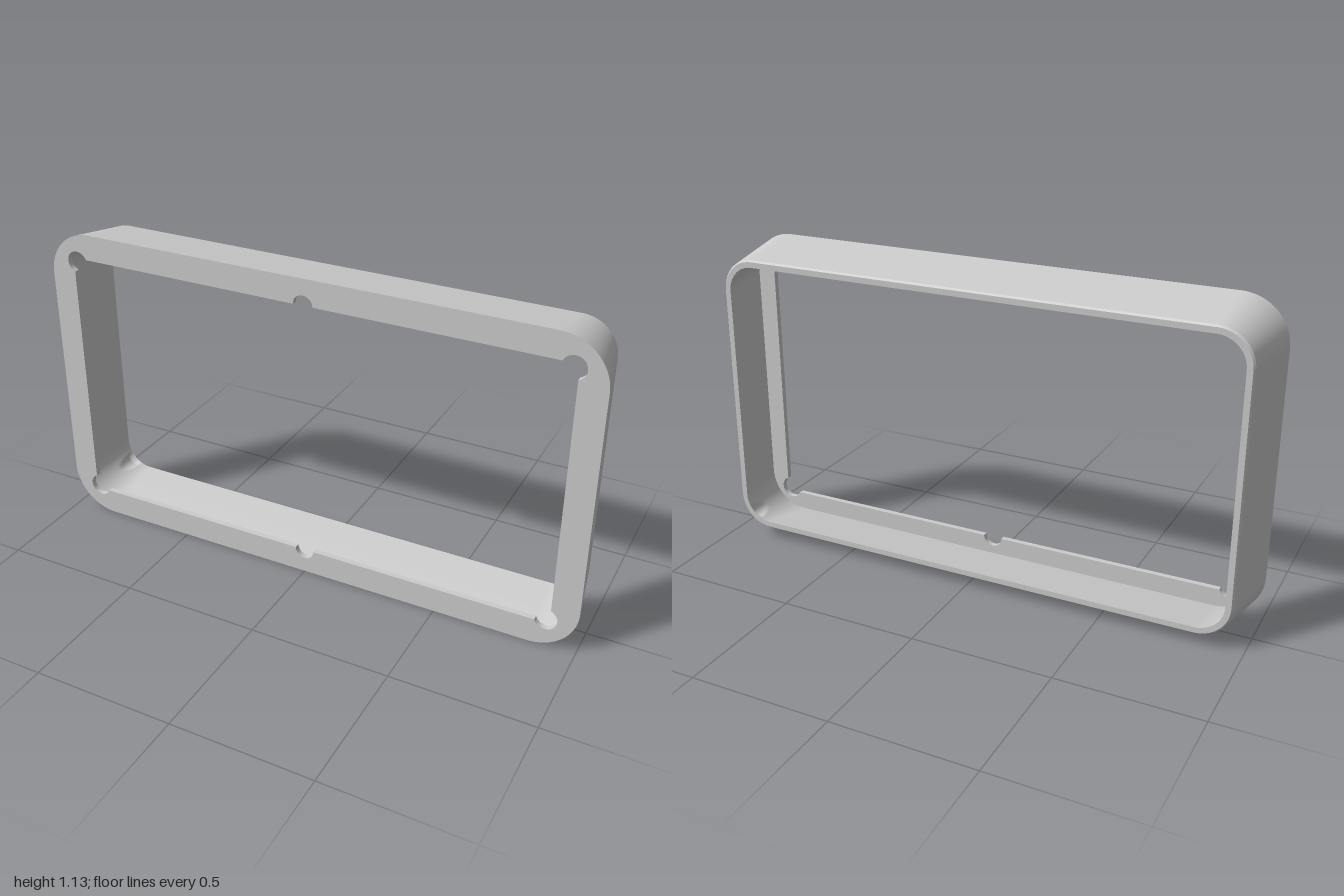
import * as THREE from 'three';
import { mergeGeometries } from 'three/addons/utils/BufferGeometryUtils.js';

const MID_Y = 0.565;                 // height of the frame's centre
const CX = 0.835, CY = 0.4;          // centres of the corner rounding
const RADIUS = 0.165;                // outer corner radius at the front
const NOTCH = { x: 0.89, y: 0.4575, r: 0.04, inset: 0.015 };
const CORNER_STEPS = 32;
const SIGNS = [[1, 1], [-1, 1], [-1, -1], [1, -1]];

// Rounded rectangle, counter-clockwise, shrunk by an inset
function outline(inset) {
  const pts = [], r = RADIUS - inset;
  SIGNS.forEach(([sx, sy], k) => {
    for (let i = 0; i <= CORNER_STEPS; i++) {
      const a = (k + i / CORNER_STEPS) * Math.PI / 2;
      pts.push(new THREE.Vector2(sx * CX + r * Math.cos(a), sy * CY + r * Math.sin(a)));
    }
  });
  return pts;
}

// Hollow out the inner wall where the corner screw notches run into it
function relieve(p) {
  const sx = Math.sign(p.x), sy = Math.sign(p.y), r = 0.034;
  const d = new THREE.Vector2(p.x - sx * NOTCH.x, p.y - sy * NOTCH.y);
  if (d.length() < r) p.set(sx * NOTCH.x, sy * NOTCH.y).add(d.setLength(r));
}

// One smooth band of the wall between two [inset, z] profile points
function band([i0, z0], [i1, z1], rows, notched) {
  const pos = [], index = [], n = 4 * (CORNER_STEPS + 1);
  for (let r = 0; r <= rows; r++) {
    const t = r / rows, z = z0 + (z1 - z0) * t;
    for (const p of outline(i0 + (i1 - i0) * t)) {
      if (notched && z > -0.115) relieve(p);
      pos.push(p.x, p.y, z);
    }
  }
  for (let r = 0; r < rows; r++) {
    for (let j = 0; j < n; j++) {
      const a = r * n + j, b = r * n + (j + 1) % n;
      index.push(a, a + n, b, b, a + n, b + n);
    }
  }
  const g = new THREE.BufferGeometry();
  g.setAttribute('position', new THREE.Float32BufferAttribute(pos, 3));
  g.setIndex(index);
  g.computeVertexNormals();
  return g;
}

// Window opening with round notches in the corners and mid-edges
function windowPath() {
  const path = new THREE.Path();
  const cut = Math.asin(NOTCH.inset / NOTCH.r);
  SIGNS.forEach(([sx, sy], k) => {
    const turn = k * Math.PI / 2;
    path.absarc(sx * NOTCH.x, sy * NOTCH.y, NOTCH.r,
      turn - Math.PI / 2 + cut, turn + Math.PI - cut, false);
    if (k % 2 === 0) {
      path.absarc(0, sy * (NOTCH.y + NOTCH.inset), 0.035, turn, turn + Math.PI, false);
    }
  });
  path.closePath();
  return path;
}

export function createModel() {
  const group = new THREE.Group();
  group.name = 'bezelFrame';
  const material = new THREE.MeshStandardMaterial({ color: 0xcccccc });

  // Tapered wall: front edge, outside, chamfered back rim, inside
  const profile = [[0.004, 0.125], [0, 0.125], [0.042, -0.117], [0.048, -0.124],
    [0.068, -0.124], [0.027, 0.105]];
  const bands = profile.slice(1).map((p, i) =>
    band(profile[i], p, i === 4 ? 24 : 1, i === 4));
  const wall = new THREE.Mesh(mergeGeometries(bands), material);
  wall.name = 'taperedWall';

  // Front plate with the notched window
  const face = new THREE.Shape(outline(0.004));
  face.holes.push(windowPath());
  const plateGeometry = new THREE.ExtrudeGeometry(face,
    { depth: 0.02, bevelEnabled: false, curveSegments: 24 });
  plateGeometry.translate(0, 0, 0.105);
  const plate = new THREE.Mesh(plateGeometry, material);
  plate.name = 'frontPlate';

  for (const part of [wall, plate]) {
    part.position.y = MID_Y;
    group.add(part);
  }
  return group;
}
